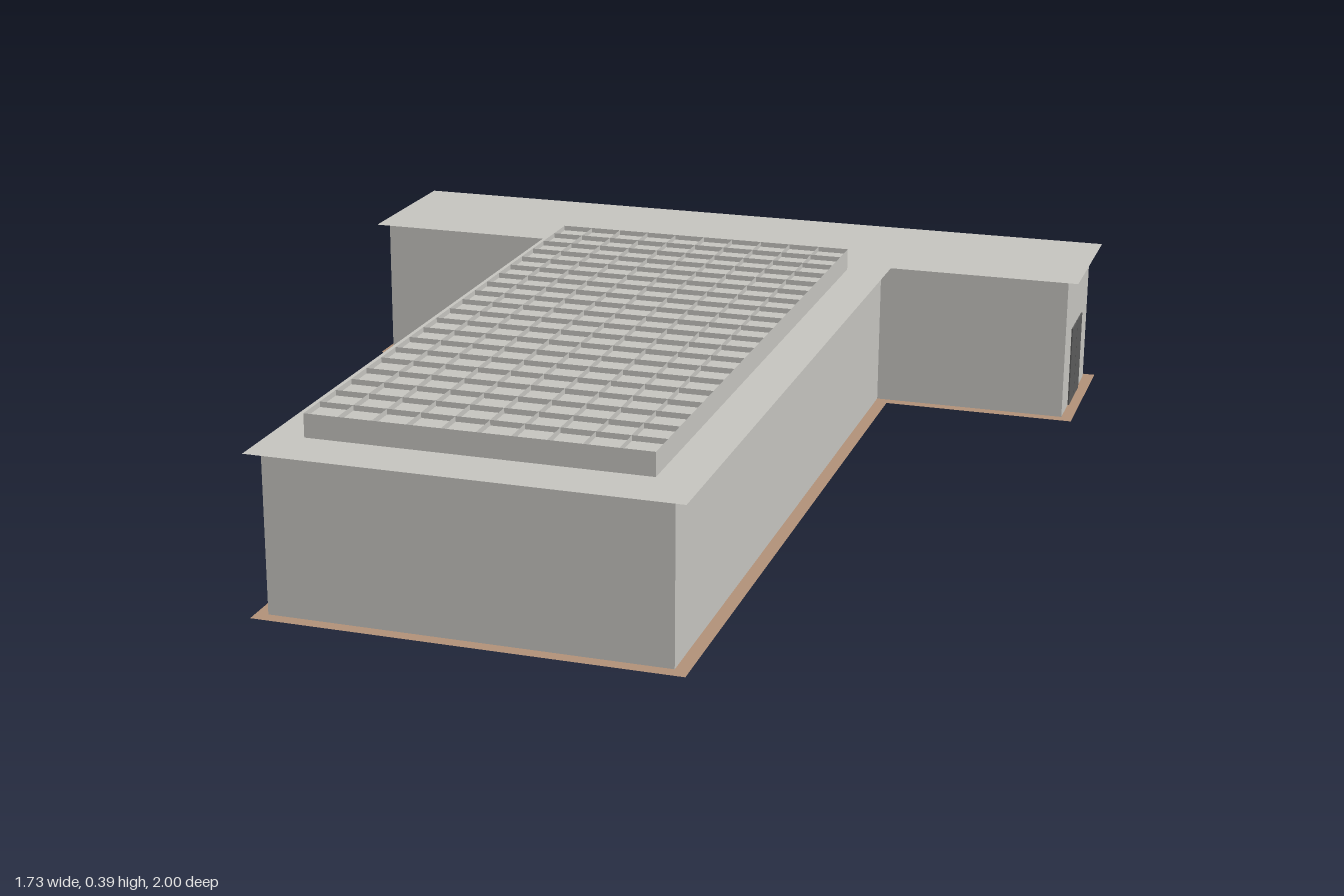
import * as THREE from 'three';

function material(name, color, side = THREE.FrontSide) {
  const m = new THREE.MeshStandardMaterial({ color, side });
  m.name = name;
  return m;
}

// T-shaped plan: wide wing at the back, long hall running to the front
function planShape(wing, hall, back, inner, front) {
  const pts = [[-wing, back], [-wing, inner], [-hall, inner], [-hall, front],
    [hall, front], [hall, inner], [wing, inner], [wing, back]];
  return new THREE.Shape(pts.map(([x, z]) => new THREE.Vector2(x, -z)));
}

export function createModel() {
  const group = new THREE.Group();
  const concrete = material('concrete', 0xc8c7c2, THREE.DoubleSide);
  const earth = material('earth', 0xb4937a, THREE.DoubleSide);
  const darkMetal = material('darkMetal', 0x5c5c5c);

  const add = (name, geometry, mat, x = 0, y = 0, z = 0, parent = group) => {
    const mesh = new THREE.Mesh(geometry, mat);
    mesh.name = name;
    mesh.position.set(x, y, z);
    parent.add(mesh);
    return mesh;
  };

  // Walls
  const walls = new THREE.ExtrudeGeometry(planShape(0.84, 0.403, -0.975, -0.65, 0.977),
    { depth: 0.326, bevelEnabled: false });
  add('walls', walls.rotateX(-Math.PI / 2), concrete, 0, 0.002, 0);

  // Thin overhanging roof and floor sheets
  const sheet = new THREE.ShapeGeometry(planShape(0.865, 0.43, -1, -0.63, 1));
  sheet.rotateX(-Math.PI / 2);
  add('roof', sheet, concrete, 0, 0.33, 0);
  add('floor', sheet, earth);

  // Double doors at both ends of the wing
  const leaf = new THREE.BoxGeometry(0.004, 0.187, 0.071);
  for (const side of [-1, 1]) {
    for (const half of [-1, 1]) {
      add('doorLeaf', leaf, darkMetal, side * 0.841, 0.0955, -0.8125 + half * 0.0365);
    }
  }

  // Rooftop unit: curb, tray and a grid of thin upright fins
  const unit = new THREE.Group();
  unit.name = 'rooftopUnit';
  unit.position.set(0, 0, 0.18);
  group.add(unit);
  const W = 0.69, L = 1.46, top = 0.389, finHeight = 0.011;
  add('curb', new THREE.BoxGeometry(0.5, 0.014, 1.28), concrete, 0, 0.336, -0.01, unit);
  const trayHeight = top - finHeight - 0.341;
  add('tray', new THREE.BoxGeometry(W, trayHeight, L), concrete, 0, 0.341 + trayHeight / 2, 0, unit);

  const columns = 10, rows = 20, finY = top - finHeight / 2;
  const longFin = new THREE.PlaneGeometry(L, finHeight).rotateY(Math.PI / 2);
  const crossFin = new THREE.PlaneGeometry(W, finHeight);
  for (let i = 0; i <= columns; i++) {
    add('longFin', longFin, concrete, -W / 2 + (W * i) / columns, finY, 0, unit);
  }
  for (let j = 0; j <= rows; j++) {
    add('crossFin', crossFin, concrete, 0, finY, -L / 2 + (L * j) / rows, unit);
  }
  return group;
}
